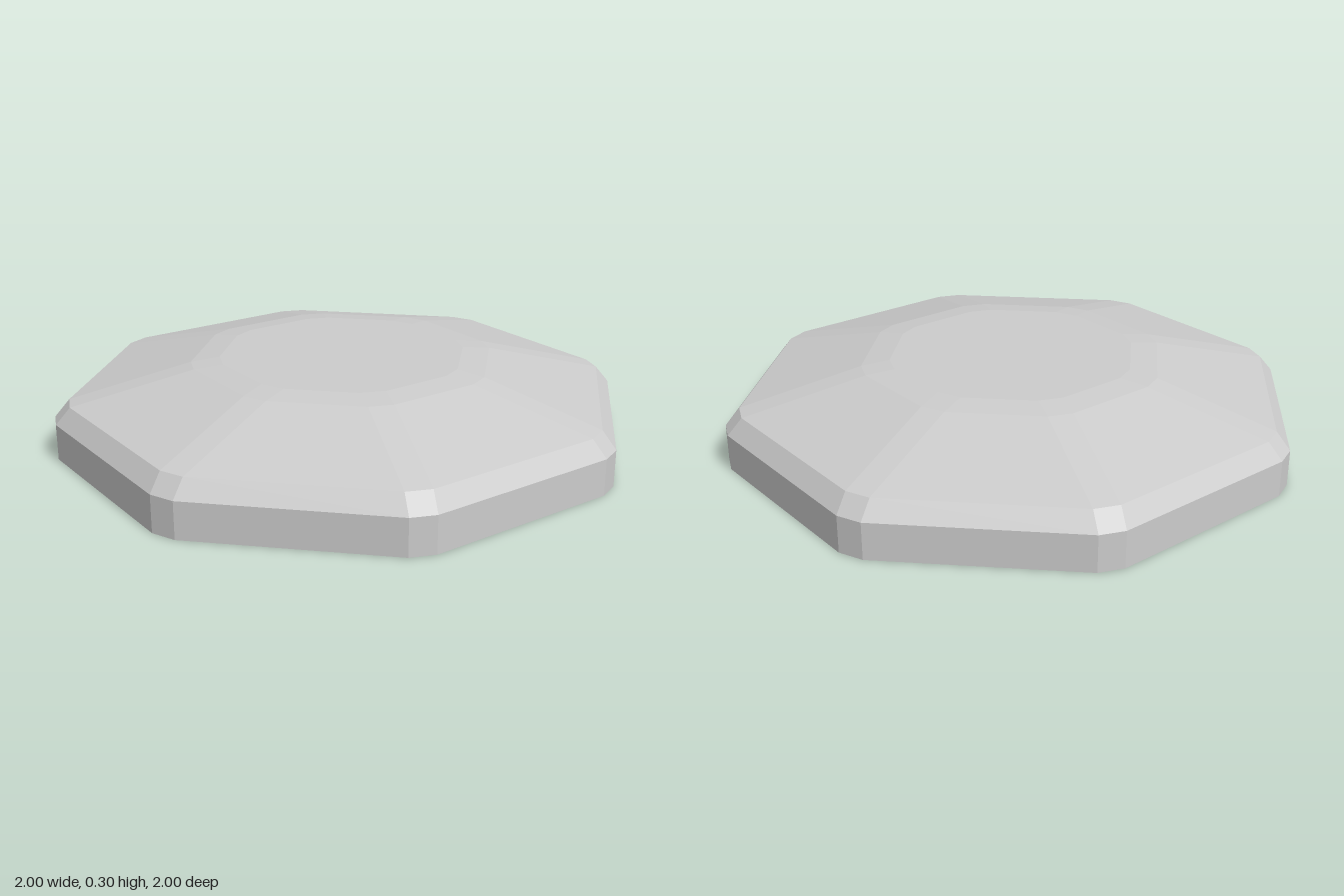
import * as THREE from 'three';

const SIDES = 8;

// Octagon with clipped corners: corner faces at distance r, each 2 * h wide
function ring(r, y, h) {
  const points = [];
  for (let k = 0; k < SIDES; k++) {
    const a = (k / SIDES) * Math.PI * 2;
    const c = Math.cos(a), s = Math.sin(a);
    for (const t of [-h, h]) points.push([r * c - t * s, y, r * s + t * c]);
  }
  return points;
}

// Joins successive rings with quads
function loft(profile) {
  const rings = profile.map(([r, y, h]) => ring(r, y, h));
  const n = SIDES * 2;
  const positions = [];
  for (let j = 0; j < rings.length - 1; j++) {
    const lower = rings[j], upper = rings[j + 1];
    for (let i = 0; i < n; i++) {
      const k = (i + 1) % n;
      if (profile[j + 1][0] > 0) positions.push(...lower[i], ...upper[i], ...upper[k]);
      if (profile[j][0] > 0) positions.push(...lower[i], ...upper[k], ...lower[k]);
    }
  }
  const geometry = new THREE.BufferGeometry();
  geometry.setAttribute('position', new THREE.Float32BufferAttribute(positions, 3));
  geometry.computeVertexNormals();
  return geometry;
}

export function createModel() {
  const group = new THREE.Group();
  group.name = 'octagonalLid';
  const material = new THREE.MeshStandardMaterial({ color: 0xcccccc, flatShading: true });

  // Hollow shell: [distance, height, half corner width] from the inner ceiling
  // down to the rim, then up the outside to the flat top
  const shell = new THREE.Mesh(loft([
    [0, 0.245, 0],
    [0.42, 0.245, 0.043],
    [0.52, 0.235, 0.043],
    [0.91, 0.14, 0.043],
    [0.95, 0.105, 0.043],
    [0.95, 0, 0.043],
    [1, 0, 0.043],
    [1, 0.125, 0.043],
    [0.95, 0.183, 0.043],
    [0.53, 0.286, 0.043],
    [0.43, 0.297, 0.043],
    [0, 0.297, 0],
  ]), material);
  shell.name = 'lidShell';
  group.add(shell);
  return group;
}
